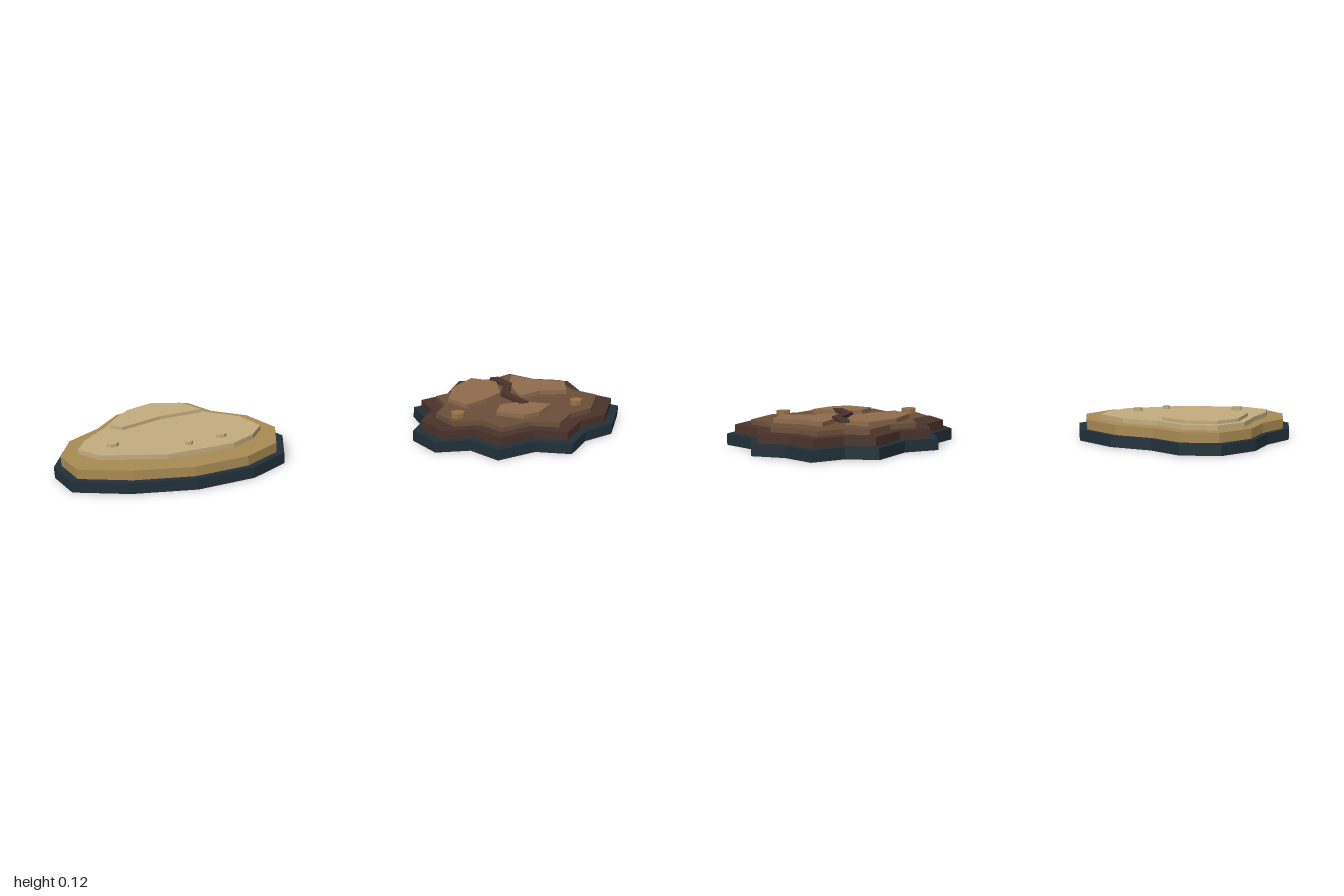
import * as THREE from 'three';

const mat = (name, color, side = THREE.FrontSide) => {
  const m = new THREE.MeshStandardMaterial({ color, side });
  m.name = name;
  return m;
};

// Vertical slab from an outline of [x, z] points; an open slab has no underside.
function slab(name, pts, y0, y1, material, open = false) {
  const shape = new THREE.Shape(pts.map(([x, z]) => new THREE.Vector2(x, -z)));
  let geo = new THREE.ExtrudeGeometry(shape, { depth: y1 - y0, bevelEnabled: false });
  geo.rotateX(-Math.PI / 2);
  if (open) {
    const p = geo.attributes.position, keep = [];
    for (let i = 0; i < p.count; i += 3) {
      const top = Math.max(p.getY(i), p.getY(i + 1), p.getY(i + 2));
      if (top < 1e-5) continue;
      for (let k = i; k < i + 3; k++) keep.push(p.getX(k), p.getY(k), p.getZ(k));
    }
    geo = new THREE.BufferGeometry();
    geo.setAttribute('position', new THREE.Float32BufferAttribute(keep, 3));
    geo.computeVertexNormals();
  }
  geo.translate(0, y0, 0);
  const mesh = new THREE.Mesh(geo, material);
  mesh.name = name;
  return mesh;
}

const scaled = (pts, cx, sx, sz) => pts.map(([x, z]) => [cx + (x - cx) * sx, z * sz]);

// Flat pebble with a squashed faceted outline.
function pebble(name, x, z, r, y0, y1, material) {
  const pts = [];
  for (let i = 0; i < 7; i++) {
    const a = (i / 7) * Math.PI * 2;
    pts.push([x + Math.cos(a) * r, z + Math.sin(a) * r * 0.7]);
  }
  return slab(name, pts, y0, y1, material);
}

export function createModel() {
  const model = new THREE.Group();
  model.name = 'islands';
  const dark = mat('darkBase', 0x22303a, THREE.DoubleSide);
  const sand = mat('wetSand', 0xa98b54);
  const paleSand = mat('drySand', 0xc4ad7f);
  const darkRock = mat('darkRock', 0x4a332b);
  const midRock = mat('midRock', 0x6c503a);
  const lightRock = mat('lightRock', 0x8f6c4e);
  const tanRock = mat('tanPebble', 0x9a7048);

  // Sand island
  const sandIsland = new THREE.Group();
  sandIsland.name = 'sandIsland';
  const shore = [[-1, 0.09], [-0.97, -0.02], [-0.87, -0.1], [-0.8, -0.2], [-0.665, -0.27],
    [-0.527, -0.25], [-0.447, -0.165], [-0.32, -0.1], [-0.23, 0.016], [-0.243, 0.14],
    [-0.355, 0.22], [-0.543, 0.26], [-0.757, 0.246], [-0.944, 0.198]];
  const top = [[-0.917, 0.08], [-0.895, 0.02], [-0.83, -0.06], [-0.77, -0.16], [-0.665, -0.21],
    [-0.55, -0.19], [-0.48, -0.115], [-0.37, -0.06], [-0.307, 0.025], [-0.34, 0.085],
    [-0.41, 0.135], [-0.63, 0.172], [-0.85, 0.135]];
  const dune = [[-0.81, -0.055], [-0.75, -0.155], [-0.665, -0.197], [-0.56, -0.178],
    [-0.495, -0.113], [-0.64, -0.085], [-0.77, -0.028]];
  sandIsland.add(
    slab('sandBase', shore, 0, 0.04, dark, true),
    slab('sandShelf', scaled(shore, -0.615, 0.935, 0.93), 0.04, 0.075, sand, true),
    slab('sandTop', top, 0.075, 0.092, paleSand, true),
    slab('dune', dune, 0.0935, 0.105, paleSand));
  for (const [x, z, r] of [[-0.805, 0.075, 0.021], [-0.557, 0.113, 0.014], [-0.447, 0.08, 0.018]])
    sandIsland.add(pebble('sandPebble', x, z, r, 0.0925, 0.104, paleSand));

  // Rock island: stepped star-shaped layers
  const rockIsland = new THREE.Group();
  rockIsland.name = 'rockIsland';
  const star = [[0.222, 0.07], [0.286, -0.01], [0.27, -0.107], [0.382, -0.139], [0.463, -0.251],
    [0.575, -0.23], [0.682, -0.275], [0.773, -0.198], [0.89, -0.16], [0.906, -0.05],
    [1, 0.03], [0.922, 0.16], [0.81, 0.195], [0.73, 0.275], [0.612, 0.235],
    [0.468, 0.268], [0.398, 0.182], [0.275, 0.171]];
  rockIsland.add(
    slab('rockBase', star, 0, 0.04, dark, true),
    slab('rockShelf', scaled(star, 0.61, 0.925, 0.9), 0.04, 0.072, darkRock, true),
    slab('rockTop', scaled(star, 0.61, 0.78, 0.76), 0.072, 0.09, midRock, true));

  // Raised plates
  const plates = [
    [[0.37, -0.015], [0.41, -0.1], [0.5, -0.162], [0.58, -0.118], [0.565, -0.025], [0.5, 0.015], [0.42, 0.05]],
    [[0.618, -0.09], [0.653, -0.155], [0.735, -0.097], [0.825, -0.07], [0.805, 0.005], [0.71, -0.01], [0.625, 0.015]],
    [[0.505, 0.118], [0.535, 0.07], [0.62, 0.06], [0.71, 0.1], [0.65, 0.15], [0.59, 0.165]]];
  for (const p of plates) rockIsland.add(slab('rockPlate', p, 0.094, 0.11, lightRock));

  // Zigzag crack ridge
  const zig = [[0.58, -0.142], [0.612, -0.08], [0.577, -0.008], [0.62, 0.078]];
  const h = 0.016;
  const crack = [...zig.map(([x, z]) => [x - h, z]), ...zig.map(([x, z]) => [x + h, z]).reverse()];
  rockIsland.add(slab('crack', crack, 0.104, 0.116, darkRock));

  for (const [x, z, r] of [[0.372, 0.097, 0.026], [0.81, 0.083, 0.024]])
    rockIsland.add(pebble('rockPebble', x, z, r, 0.092, 0.11, tanRock));

  model.add(sandIsland, rockIsland);
  return model;
}
